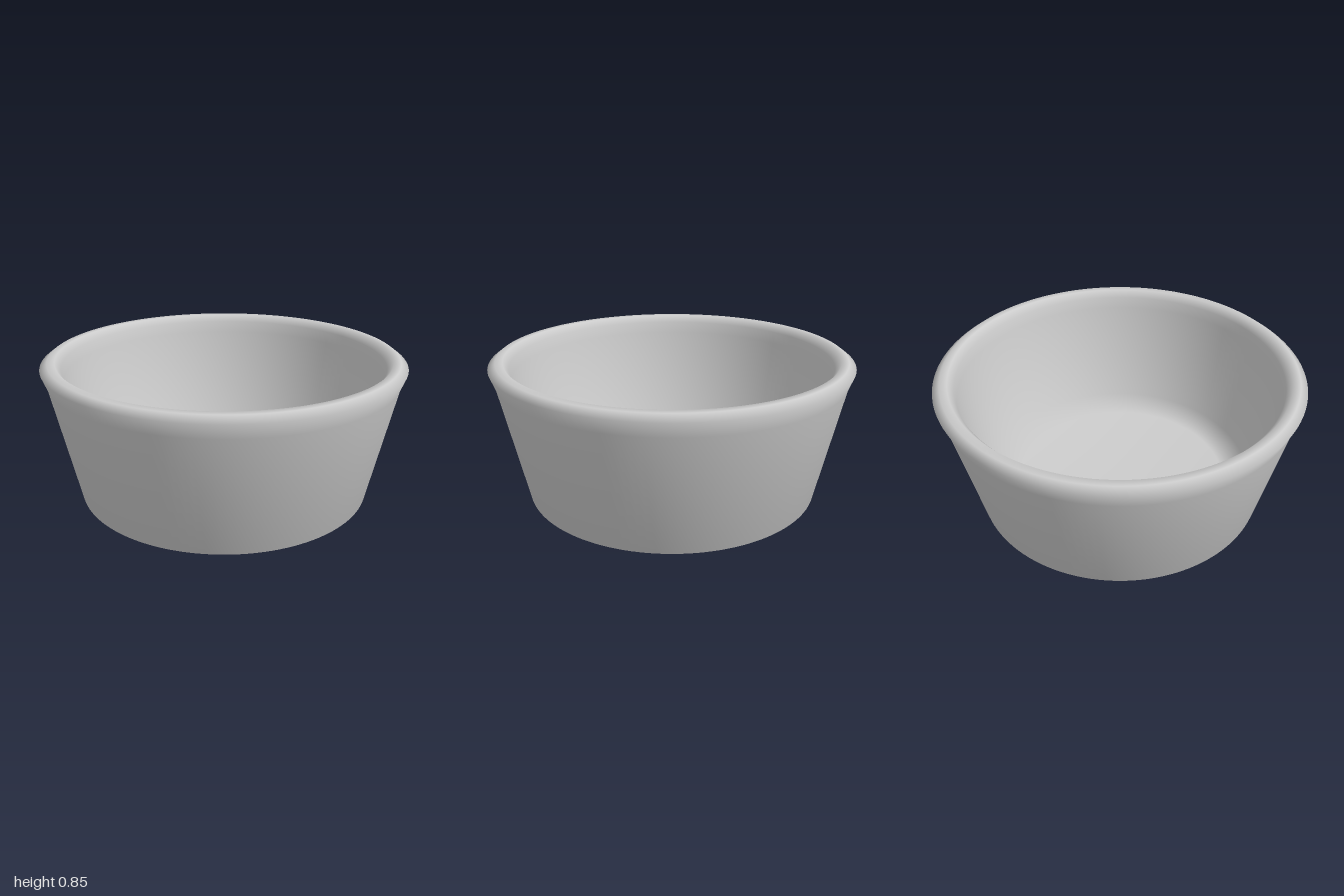
import * as THREE from 'three';

export function createModel() {
  const group = new THREE.Group();
  group.name = 'bowl';

  // Closed profile: underside, outer wall, rolled rim, inner wall, floor
  const profile = [
    [0, 0], [0.67, 0], [0.83, 0.07],
    [0.97, 0.74], [1, 0.82], [0.96, 0.85],
    [0.92, 0.85], [0.89, 0.81], [0.885, 0.74],
    [0.76, 0.14], [0.62, 0.08], [0, 0.08],
  ].map(([r, y]) => new THREE.Vector2(r, y));

  const shell = new THREE.Mesh(
    new THREE.LatheGeometry(profile, 128),
    new THREE.MeshStandardMaterial({ color: 0xcccccc })
  );
  shell.name = 'bowlShell';
  group.add(shell);
  return group;
}
